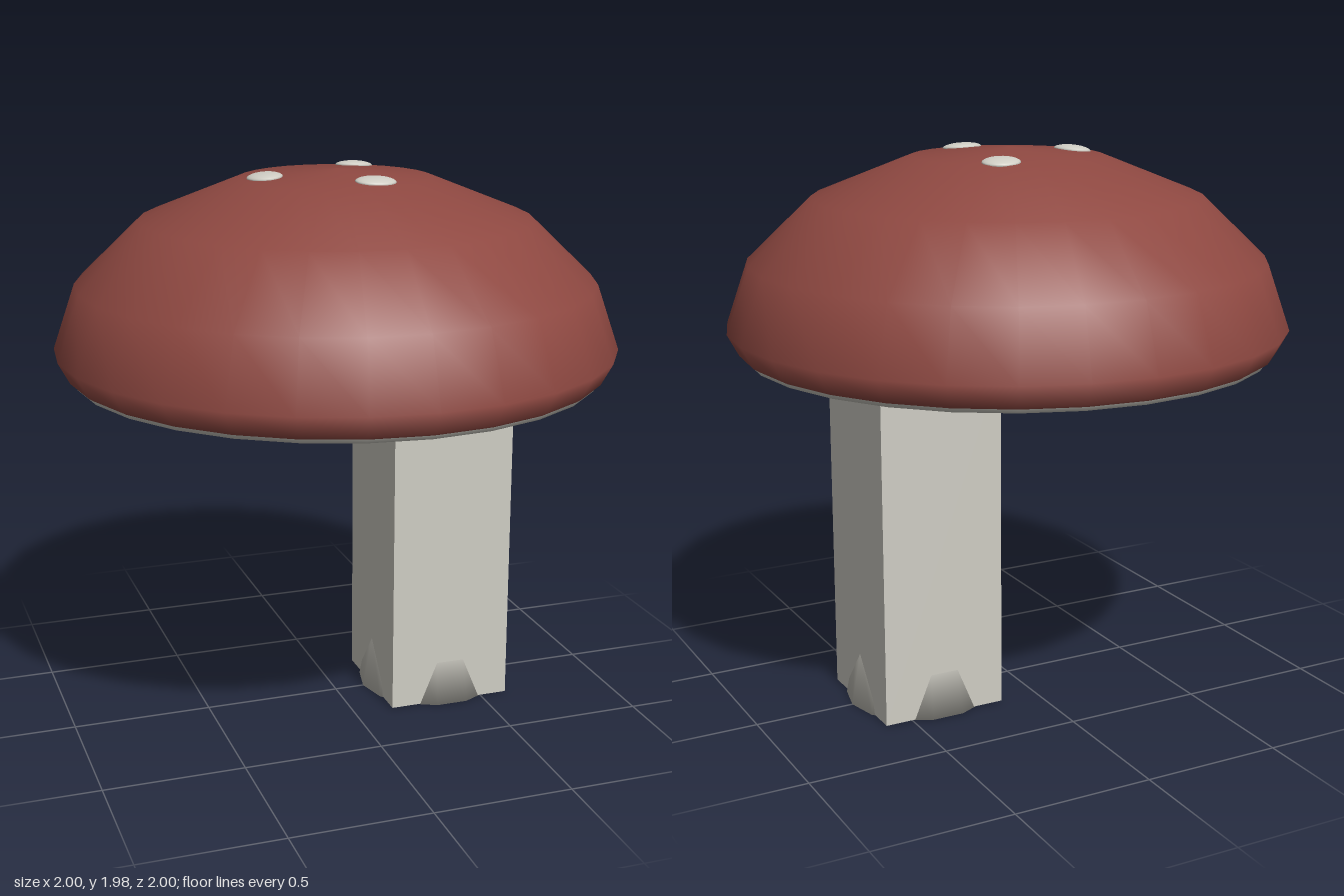
import * as THREE from 'three';

const red = new THREE.MeshStandardMaterial({ color: 0x8e4841 });
red.name = 'cap red';
const ivory = new THREE.MeshStandardMaterial({ color: 0xcfcdc4 });
ivory.name = 'ivory';

function addMesh(parent, name, geometry, material) {
  const mesh = new THREE.Mesh(geometry, material);
  mesh.name = name;
  parent.add(mesh);
  return mesh;
}

// Smooth turned solid; profile runs from bottom to top
const turned = (profile, sides) =>
  new THREE.LatheGeometry(profile.map(([r, y]) => new THREE.Vector2(r, y)), sides);

export function createModel() {
  const model = new THREE.Group();
  model.name = 'mushroom';

  // Domed cap
  addMesh(model, 'cap', turned([
    [0.94, 1.272], [0.96, 1.285], [1, 1.36], [0.92, 1.59],
    [0.69, 1.81], [0.34, 1.95], [0, 1.98],
  ], 28), red);

  // Pale underside with a thin rim
  addMesh(model, 'underside', turned([[0, 1.26], [0.935, 1.26], [0.945, 1.276]], 28), ivory);

  // Square off-centre stem
  const stem = addMesh(model, 'stem', new THREE.BoxGeometry(0.456, 1.27, 0.456), ivory);
  stem.position.set(0.373, 0.635, 0);

  // Flared foot poking through the stem faces
  const foot = addMesh(model, 'foot', turned([[0, 0], [0.263, 0], [0.228, 0.19]], 14), ivory);
  foot.position.set(0.373, -0.0005, 0);
  foot.rotation.y = Math.PI / 2;
  foot.position.y = 0;
  stem.position.y += 0.002;

  // Three flattened spots lying on the cap
  const spots = [[-0.255, -0.012, 0.062, 0.076], [0.15, -0.24, 0.067, 0.065], [0.066, 0.225, 0.072, 0.062]];
  for (const [x, z, rx, rz] of spots) {
    const spot = addMesh(model, 'spot', new THREE.SphereGeometry(1, 20, 12), ivory);
    spot.scale.set(rx, 0.017, rz);
    spot.position.set(x, 1.98 - Math.hypot(x, z) * 0.088, z);
    spot.quaternion.setFromUnitVectors(
      new THREE.Vector3(0, 1, 0), new THREE.Vector3(x * 0.35, 1, z * 0.35).normalize());
  }
  return model;
}
